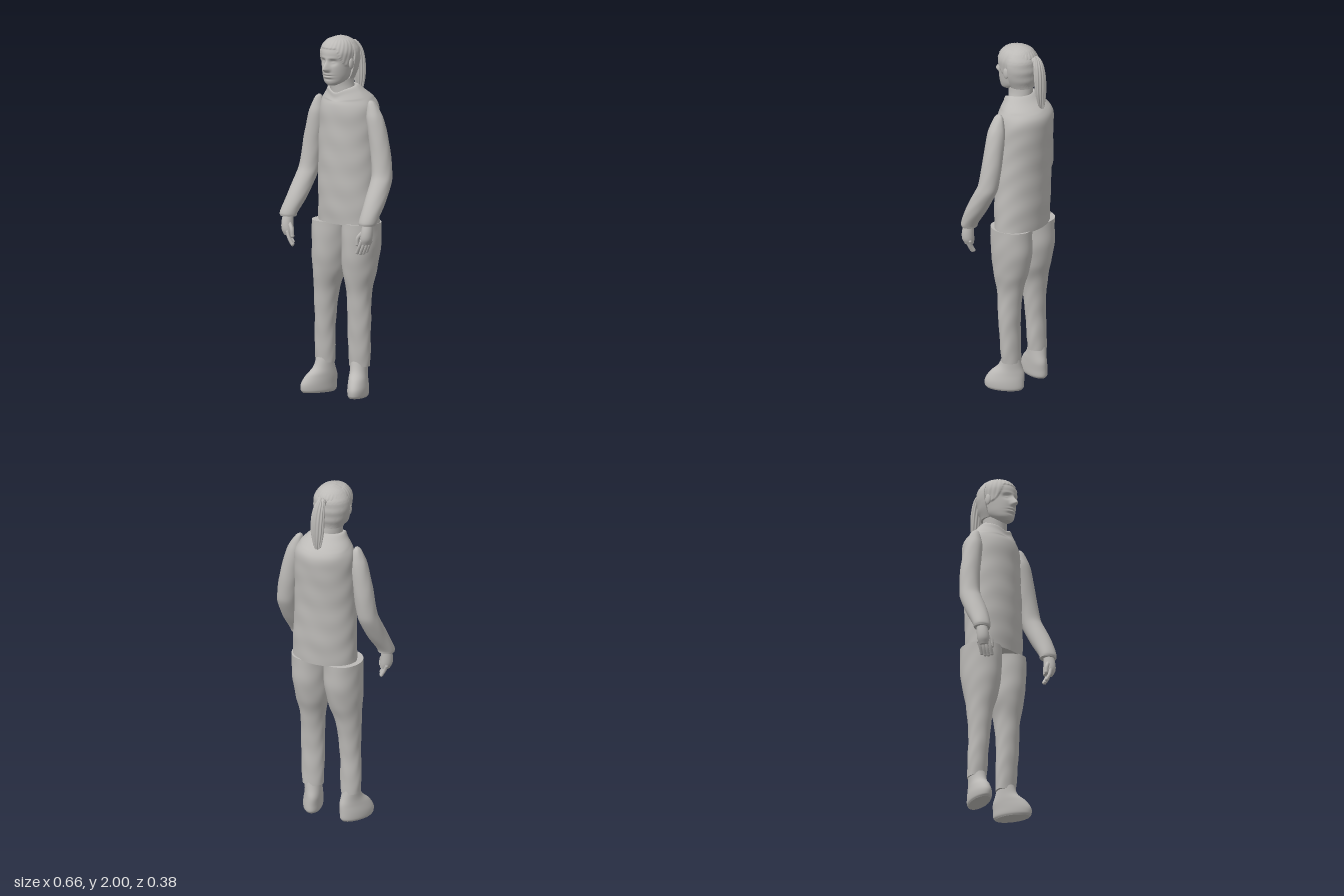
import * as THREE from 'three';
import { toCreasedNormals } from 'three/addons/utils/BufferGeometryUtils.js';

const clay = new THREE.MeshStandardMaterial({ color: 0xbcbab7 });
clay.name = 'warm grey';

const bell = (d, s) => Math.exp(-(d * d) / (2 * s * s));

// Smooth loft through horizontal ellipses [y, cx, cz, rx, rz], listed from bottom to top.
// deform(v, angle) may move each vertex.
function loft(sections, { segs = 36, rows = 40, deform = null } = {}) {
  const centre = new THREE.CatmullRomCurve3(sections.map(s => new THREE.Vector3(s[1], s[0], s[2])), false, 'catmullrom');
  const radius = new THREE.CatmullRomCurve3(sections.map(s => new THREE.Vector3(s[3], 0, s[4])), false, 'catmullrom');
  const pos = [], index = [];
  const ring = t => {
    const c = centre.getPoint(t), r = radius.getPoint(t);
    for (let j = 0; j < segs; j++) {
      const a = (j / segs) * Math.PI * 2;
      const v = new THREE.Vector3(c.x + r.x * Math.cos(a), c.y, c.z + r.z * Math.sin(a));
      if (deform) deform(v, a);
      pos.push(v.x, v.y, v.z);
    }
  };
  for (let i = 0; i <= rows; i++) ring(i / rows);
  for (let i = 0; i < rows; i++) {
    for (let j = 0; j < segs; j++) {
      const k = (j + 1) % segs;
      const p = i * segs + j, q = i * segs + k;
      index.push(p, p + segs, q, q, p + segs, q + segs);
    }
  }
  // End caps with their own vertices so the rims stay crisp
  for (const t of [0, 1]) {
    const start = pos.length / 3;
    ring(t);
    const mid = [0, 0, 0];
    for (let j = start; j < start + segs; j++) for (let n = 0; n < 3; n++) mid[n] += pos[j * 3 + n] / segs;
    pos.push(...mid);
    for (let j = 0; j < segs; j++) {
      const p = start + j, q = start + (j + 1) % segs;
      if (t === 0) index.push(start + segs, p, q);
      else index.push(start + segs, q, p);
    }
  }
  const g = new THREE.BufferGeometry();
  g.setAttribute('position', new THREE.Float32BufferAttribute(pos, 3));
  g.setIndex(index);
  g.computeVertexNormals();
  return g;
}

function add(parent, name, geometry) {
  const m = new THREE.Mesh(geometry, clay);
  m.name = name;
  parent.add(m);
  return m;
}

function ball(parent, name, [x, y, z], [sx, sy, sz]) {
  const m = add(parent, name, new THREE.SphereGeometry(1, 20, 14));
  m.position.set(x, y, z);
  m.scale.set(sx, sy, sz);
  return m;
}

// Gentle cloth folds
const folds = amount => (v, a) => {
  const w = amount * Math.sin(v.y * 38 + Math.sin(a * 2) * 2) * Math.sin(a * 3 + v.y * 9);
  v.x += w * Math.cos(a);
  v.z += w * Math.sin(a);
};

function buildHead() {
  const head = new THREE.Group();
  head.name = 'head';
  const cx = -0.02;

  // Skull and face; bumps shape the nose, eyes, lips and hairline
  add(head, 'face', loft([
    [1.733, cx, 0.09, 0.022, 0.025], [1.75, cx, 0.07, 0.052, 0.056], [1.78, cx, 0.043, 0.071, 0.09],
    [1.82, cx, 0.03, 0.081, 0.108], [1.87, cx, 0.024, 0.089, 0.112], [1.92, cx, 0.024, 0.093, 0.112],
    [1.96, cx, 0.022, 0.079, 0.093], [1.985, cx, 0.022, 0.052, 0.06], [1.998, cx, 0.022, 0.012, 0.014],
  ], {
    segs: 96, rows: 100,
    deform: (v, a) => {
      const dx = v.x - cx, y = v.y, side = Math.abs(dx);
      // Hair swept back above the hairline
      const line = 1.935 - 0.1 * THREE.MathUtils.smoothstep(side, 0.045, 0.085);
      const hair = THREE.MathUtils.smoothstep(y, line, line + 0.01) * (y < 1.985 ? 1 : 0.3);
      const puff = hair * (0.005 + 0.0015 * Math.sin(a * 26 + y * 60));
      v.x += puff * Math.cos(a);
      v.z += puff * Math.sin(a);
      if (v.z < 0.06) return;
      v.z += 0.034 * bell(dx, 0.01) * bell(y - 1.828, y > 1.828 ? 0.026 : 0.009);
      v.z += 0.008 * bell(side - 0.013, 0.006) * bell(y - 1.824, 0.008);
      v.z -= 0.014 * bell(side - 0.032, 0.014) * bell(y - 1.866, 0.011);
      v.z += 0.006 * bell(side - 0.032, 0.008) * bell(y - 1.864, 0.005);
      v.z += 0.004 * bell(side - 0.03, 0.018) * bell(y - 1.888, 0.006);
      v.z += 0.006 * bell(dx, 0.018) * (bell(y - 1.797, 0.004) + bell(y - 1.782, 0.005));
      v.z -= 0.004 * bell(dx, 0.02) * (bell(y - 1.79, 0.003) + bell(y - 1.77, 0.005));
    },
  }));
  for (const s of [-1, 1]) ball(head, 'ear', [cx + s * 0.092, 1.855, 0.035], [0.01, 0.032, 0.019]);

  // Back hair, cut straight across behind the ears
  add(head, 'backHair', toCreasedNormals(loft([
    [1.765, cx, 0.0, 0.07, 0.075], [1.82, cx, 0.004, 0.094, 0.093], [1.88, cx, 0.006, 0.106, 0.102],
    [1.93, cx, 0.008, 0.101, 0.098], [1.97, cx, 0.01, 0.076, 0.076], [1.99, cx, 0.01, 0.045, 0.045],
    [2.0, cx, 0.01, 0.012, 0.012],
  ], {
    segs: 64,
    deform: v => {
      v.z = Math.min(v.z + 0.0015 * Math.sin(v.y * 110), 0.02);
    },
  }), 0.9));

  // Ponytail with strand ridges, and the knot that holds it
  add(head, 'ponytail', loft([
    [1.645, -0.012, -0.148, 0.004, 0.004], [1.69, -0.01, -0.146, 0.022, 0.014], [1.76, -0.008, -0.143, 0.036, 0.023],
    [1.84, -0.008, -0.138, 0.038, 0.026], [1.9, -0.01, -0.128, 0.033, 0.025], [1.94, -0.014, -0.114, 0.022, 0.021],
    [1.962, -0.016, -0.106, 0.006, 0.006],
  ], {
    segs: 72,
    deform: (v, a) => {
      const w = 0.0025 * Math.sin(a * 12 + v.y * 14);
      v.x += w * Math.cos(a);
      v.z += w * Math.sin(a);
    },
  }));
  ball(head, 'hairKnot', [-0.018, 1.93, -0.095], [0.018, 0.02, 0.024]);

  add(head, 'neck', loft([
    [1.64, -0.01, -0.005, 0.075, 0.07], [1.7, -0.013, 0, 0.066, 0.068], [1.74, -0.017, 0.002, 0.062, 0.07],
    [1.8, cx, 0.008, 0.062, 0.074],
  ]));
  return head;
}

// Palm, curled fingers and thumb; s = +1 for the left hand
function buildHand(s, x) {
  const hand = new THREE.Group();
  hand.name = s > 0 ? 'leftHand' : 'rightHand';
  add(hand, 'palm', loft([
    [0.88, x - s * 0.008, 0.15, 0.028, 0.026], [0.91, x, 0.152, 0.034, 0.034],
    [0.95, x + s * 0.004, 0.15, 0.033, 0.034], [1.0, x + s * 0.004, 0.143, 0.028, 0.028],
  ], { segs: 24, rows: 16 }));
  const digit = (name, pts, r) => {
    const curve = new THREE.CatmullRomCurve3(pts.map(p => new THREE.Vector3(...p)));
    add(hand, name, new THREE.TubeGeometry(curve, 10, r, 10));
    for (const p of [pts[0], pts[pts.length - 1]]) ball(hand, name + 'Tip', p, [r, r, r]);
  };
  for (let i = 0; i < 4; i++) {
    const z = 0.128 + i * 0.016, fx = x + s * (0.014 - i * 0.01), drop = [0.012, 0.002, 0, 0.006][i];
    digit('finger', [[fx, 0.9, z], [fx - s * 0.012, 0.862 + drop, z + 0.002], [fx - s * 0.03, 0.828 + drop, z - 0.003]], 0.0095);
  }
  digit('thumb', [[x - s * 0.02, 0.945, 0.16], [x - s * 0.042, 0.915, 0.172], [x - s * 0.047, 0.88, 0.172]], 0.011);
  return hand;
}

export function createModel() {
  const person = new THREE.Group();
  person.name = 'person';
  person.add(buildHead());

  // Sleeveless top with a neckline dipping at the front
  const cloth = folds(0.0022);
  add(person, 'torso', loft([
    [0.96, 0.01, -0.027, 0.19, 0.127], [1.1, 0.006, -0.028, 0.186, 0.135], [1.3, 0.002, -0.03, 0.18, 0.139],
    [1.5, 0, -0.039, 0.176, 0.145], [1.6, 0, -0.044, 0.171, 0.147], [1.655, -0.003, -0.038, 0.148, 0.129],
    [1.7, -0.006, -0.015, 0.112, 0.096], [1.728, -0.01, 0.0, 0.09, 0.077], [1.725, -0.01, 0.0, 0.074, 0.066],
    [1.69, -0.01, 0.0, 0.06, 0.058],
  ], {
    segs: 64, rows: 72,
    deform: (v, a) => {
      const lift = THREE.MathUtils.smoothstep(v.y, 1.62, 1.72);
      if (v.y < 1.66) cloth(v, a);
      v.y -= lift * (0.3 * Math.max(v.z, 0) + 0.02 * bell(v.x + 0.01, 0.03) * (v.z > 0 ? 1 : 0));
    },
  }));

  // Arms as [y, x, z, rx, rz] from cuff to shoulder
  const rightArm = [
    [0.985, -0.281, 0.143, 0.047, 0.042], [1.01, -0.279, 0.138, 0.052, 0.047], [1.1, -0.259, 0.089, 0.058, 0.06],
    [1.2, -0.243, 0.034, 0.059, 0.062], [1.27, -0.234, 0.01, 0.057, 0.057], [1.4, -0.218, 0, 0.056, 0.055],
    [1.54, -0.193, 0, 0.05, 0.05], [1.6, -0.184, 0, 0.036, 0.038], [1.64, -0.179, 0.001, 0.02, 0.024],
    [1.655, -0.176, 0.002, 0.006, 0.008],
  ];
  const leftX = [0.264, 0.267, 0.272, 0.272, 0.264, 0.243, 0.212, 0.198, 0.187, 0.182];
  const leftArm = rightArm.map(([y, , z, rx, rz], i) => [y, leftX[i], z, rx, rz]);
  add(person, 'rightArm', loft(rightArm, { deform: folds(0.001) }));
  add(person, 'leftArm', loft(leftArm, { deform: folds(0.001) }));
  person.add(buildHand(-1, -0.279), buildHand(1, 0.264));

  // Trouser legs, the right one set wider than the left
  const legZ = [[-0.015, 0.05], [-0.012, 0.053], [-0.006, 0.058], [-0.008, 0.075], [-0.014, 0.102], [-0.021, 0.121], [-0.022, 0.122]];
  const legY = [0.165, 0.25, 0.4, 0.58, 0.7, 0.82, 0.965];
  const legs = {
    rightLeg: [[-0.147, 0.056], [-0.146, 0.06], [-0.14, 0.059], [-0.13, 0.071], [-0.114, 0.093], [-0.107, 0.104], [-0.104, 0.107]],
    leftLeg: [[0.09, 0.061], [0.092, 0.066], [0.095, 0.068], [0.094, 0.069], [0.092, 0.092], [0.097, 0.1], [0.1, 0.102]],
  };
  for (const [name, xs] of Object.entries(legs)) {
    const rings = xs.map(([x, rx], i) => [legY[i], x, legZ[i][0], rx, legZ[i][1]]);
    add(person, name, loft(rings, { rows: 56, deform: folds(0.0015) }));
  }

  // Shoes with the toes turned outwards
  for (const [name, s, x] of [['rightShoe', -1, 0.154], ['leftShoe', 1, 0.096]]) {
    add(person, name, loft([
      [0, s * (x + 0.006), 0.02, 0.05, 0.094], [0.015, s * (x + 0.006), 0.02, 0.057, 0.104],
      [0.05, s * (x + 0.005), 0.019, 0.058, 0.104], [0.095, s * x, 0.007, 0.054, 0.09],
      [0.14, s * (x - 0.004), -0.008, 0.049, 0.064], [0.21, s * (x - 0.006), -0.014, 0.046, 0.046],
    ], {
      deform: v => {
        v.x += s * v.z * 0.3 * THREE.MathUtils.smoothstep(0.2 - v.y, 0, 0.12);
      },
    }));
  }
  return person;
}
